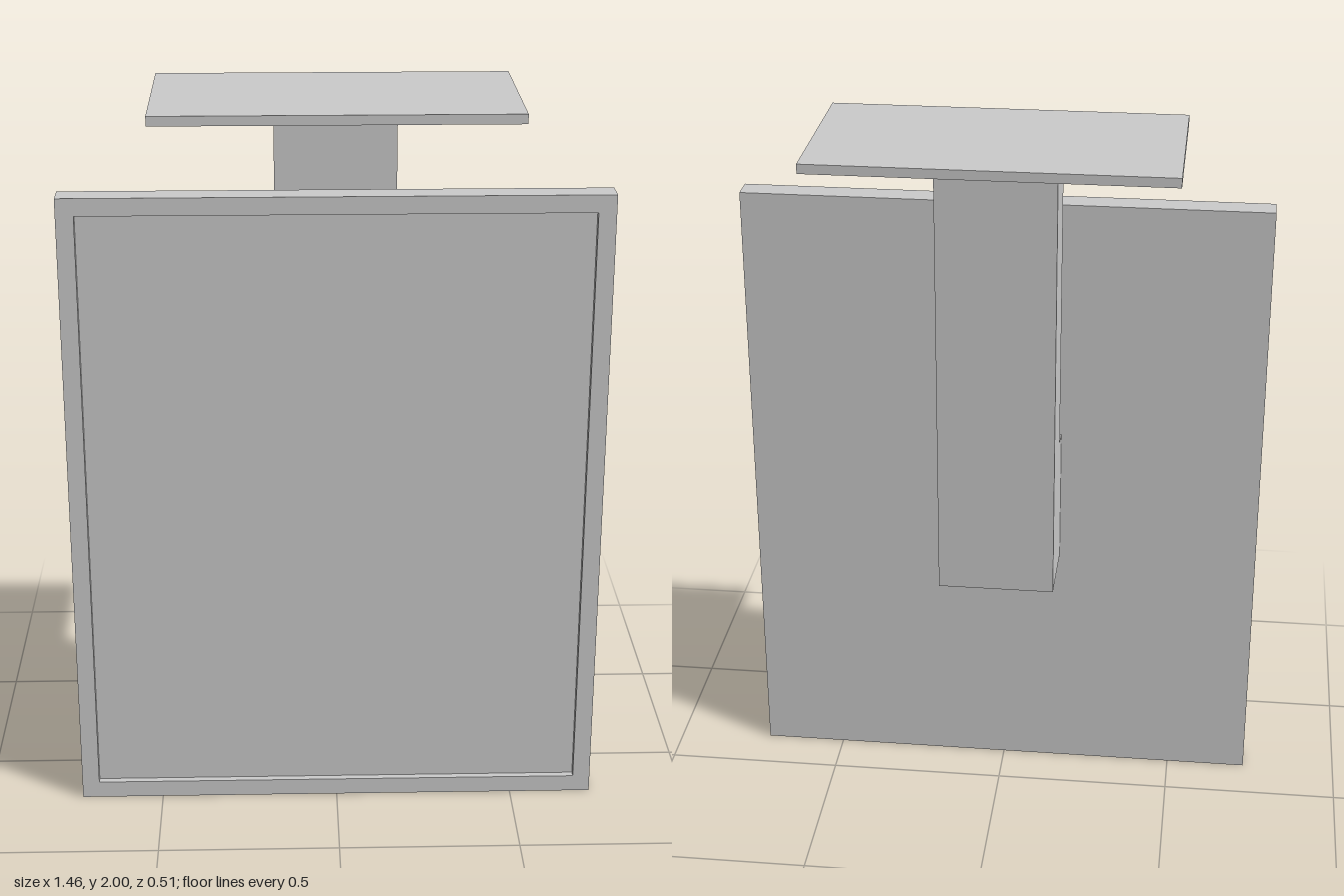
import * as THREE from 'three';

const material = new THREE.MeshStandardMaterial({ color: 0xcccccc, flatShading: true });

function rectangle(PathType, x0, y0, x1, y1) {
  return new PathType([[x0, y0], [x1, y0], [x1, y1], [x0, y1]].map(([x, y]) => new THREE.Vector2(x, y)));
}

function addPart(group, name, geometry, x = 0, y = 0, z = 0) {
  const mesh = new THREE.Mesh(geometry, material);
  mesh.name = name;
  mesh.position.set(x, y, z);
  group.add(mesh);
}

export function createModel() {
  const group = new THREE.Group();
  group.name = 'displayPanel';

  const width = 1.46, height = 1.775, bezel = 0.048;
  const back = 0.138, front = 0.21, recess = 0.02;

  // Solid panel body behind the recessed screen
  const bodyDepth = front - recess - back;
  addPart(group, 'panelBody', new THREE.BoxGeometry(width, height, bodyDepth), 0, height / 2, back + bodyDepth / 2);

  // Raised bezel around the screen
  const frame = rectangle(THREE.Shape, -width / 2, 0, width / 2, height);
  frame.holes.push(rectangle(THREE.Path, -width / 2 + bezel, bezel, width / 2 - bezel, height - bezel));
  addPart(group, 'bezel', new THREE.ExtrudeGeometry(frame, { depth: recess, bevelEnabled: false }), 0, 0, front - recess);

  // Stepped arm: side profile in (z, y), extruded across x
  const armWidth = 0.325;
  const profile = new THREE.Shape([
    [-0.082, 0.698], [back, 0.698], [back, 1.087], [0.085, 1.087], [0.085, 1.975], [-0.082, 1.975],
  ].map(([z, y]) => new THREE.Vector2(z, y)));
  const arm = new THREE.ExtrudeGeometry(profile, { depth: armWidth, bevelEnabled: false });
  arm.translate(0, 0, -armWidth / 2).rotateY(-Math.PI / 2);
  addPart(group, 'arm', arm);

  // Mounting plate
  addPart(group, 'mountingPlate', new THREE.BoxGeometry(0.97, 0.026, 0.514), 0, 1.987, 0);

  return group;
}
